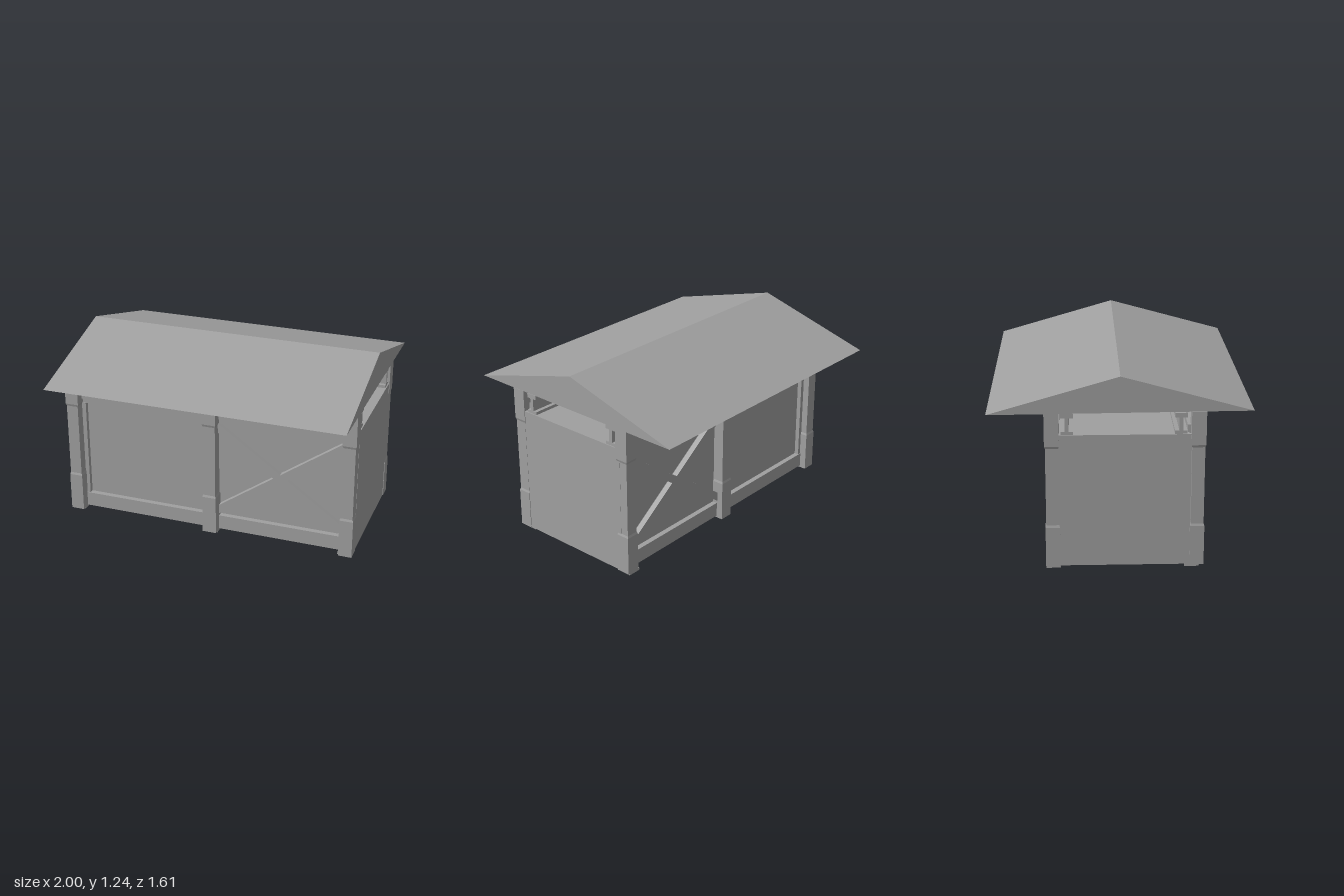
import * as THREE from 'three';

export function createModel() {
  const group = new THREE.Group();
  const grey = new THREE.MeshStandardMaterial({ color: 0xa0a0a0 });
  grey.name = 'plain grey';

  const add = (name, geometry) => {
    const mesh = new THREE.Mesh(geometry, grey);
    mesh.name = name;
    group.add(mesh);
    return mesh;
  };

  // Box given by its limits on each axis
  const box = (name, x0, x1, y0, y1, z0, z1) => {
    const g = new THREE.BoxGeometry(x1 - x0, y1 - y0, z1 - z0);
    g.translate((x0 + x1) / 2, (y0 + y1) / 2, (z0 + z1) / 2);
    return add(name, g);
  };

  // Outline in x and y, extruded from z0 to z1
  const slab = (name, points, z0, z1) => {
    const shape = new THREE.Shape(points.map(([x, y]) => new THREE.Vector2(x, y)));
    const g = new THREE.ExtrudeGeometry(shape, { depth: z1 - z0, bevelEnabled: false });
    g.translate(0, 0, z0);
    return add(name, g);
  };

  // Box whose top or bottom face is drawn in to make a sloped collar
  const collar = (name, x0, x1, y0, y1, z0, z1, inset, topSmall) => {
    const mesh = box(name, x0, x1, y0, y1, z0, z1);
    const p = mesh.geometry.attributes.position;
    const cx = (x0 + x1) / 2, cy = (y0 + y1) / 2, cz = (z0 + z1) / 2;
    for (let i = 0; i < p.count; i++) {
      if ((p.getY(i) > cy) !== topSmall) continue;
      p.setX(i, p.getX(i) - Math.sign(p.getX(i) - cx) * inset);
      p.setZ(i, p.getZ(i) - Math.sign(p.getZ(i) - cz) * inset);
    }
    mesh.geometry.computeVertexNormals();
  };

  // Post with a foot, thick base, thinner shaft and thick head
  const post = (x0, x1, z0, z1, footX, footZ) => {
    const t = 0.005;
    box('postFoot', x0 + footX, x1 + footX, 0, 0.015, z0 + footZ, z1 + footZ);
    box('postBase', x0, x1, 0.01, 0.27, z0, z1);
    collar('postBaseCollar', x0, x1, 0.27, 0.285, z0, z1, t, true);
    box('postShaft', x0 + t, x1 - t, 0.28, 0.79, z0 + t, z1 - t);
    collar('postHeadCollar', x0, x1, 0.785, 0.8, z0, z1, t, false);
    box('postHead', x0, x1, 0.8, 1.012, z0, z1);
  };

  const postSpans = [[-0.998, -0.908, 0], [-0.03, 0.065, 0], [0.906, 0.996, -0.012]];
  for (const [x0, x1, footX] of postSpans) {
    post(x0, x1, 0.43, 0.52, footX, -0.03);
    post(x0, x1, -0.46, -0.37, footX, 0);
  }

  // Closed body and flush end walls
  box('body', -0.985, 0.985, 0.013, 0.87, -0.38, 0.42);
  for (const s of [-1, 1]) {
    box('endWall', s < 0 ? -0.993 : 0.97, s < 0 ? -0.97 : 0.992, 0.013, 0.87, -0.4, 0.432);
  }

  // Rails, jamb and cross brace on the two long sides
  for (const [wall, s] of [[0.42, 1], [-0.38, -1]]) {
    const range = (d) => (s > 0 ? [wall - 0.01, wall + d] : [wall - d, wall + 0.01]);
    box('bottomRail', -0.95, 0.95, 0.013, 0.112, ...range(0.035));
    box('ledge', -0.95, 0.95, 0.79, 0.825, ...range(0.025));
    box('topRail', -0.95, 0.95, 0.825, 0.915, ...range(0.04));
    box('jamb', -0.92, -0.885, 0.11, 0.79, ...range(0.03));
    slab('braceRising', [[0.06, 0.127], [0.91, 0.725], [0.91, 0.79], [0.06, 0.19]], ...range(0.04));
    slab('braceFalling', [[0.06, 0.727], [0.91, 0.125], [0.91, 0.19], [0.06, 0.79]], ...range(0.039));
  }

  // I-section beams running under the eaves
  for (const z of [0.368, -0.322]) {
    box('beamLowerFlange', -0.985, 0.985, 0.868, 0.89, z - 0.038, z + 0.038);
    box('beamWeb', -0.985, 0.985, 0.885, 0.98, z - 0.012, z + 0.012);
    box('beamUpperFlange', -0.985, 0.985, 0.974, 1.003, z - 0.038, z + 0.038);
  }

  // Solid gabled roof, drawn in profile and turned along x
  const roof = slab('roof', [[-0.805, 1.017], [0.805, 1.005], [0.0, 1.237]], -1, 0.998);
  roof.geometry.rotateY(Math.PI / 2);

  return group;
}
